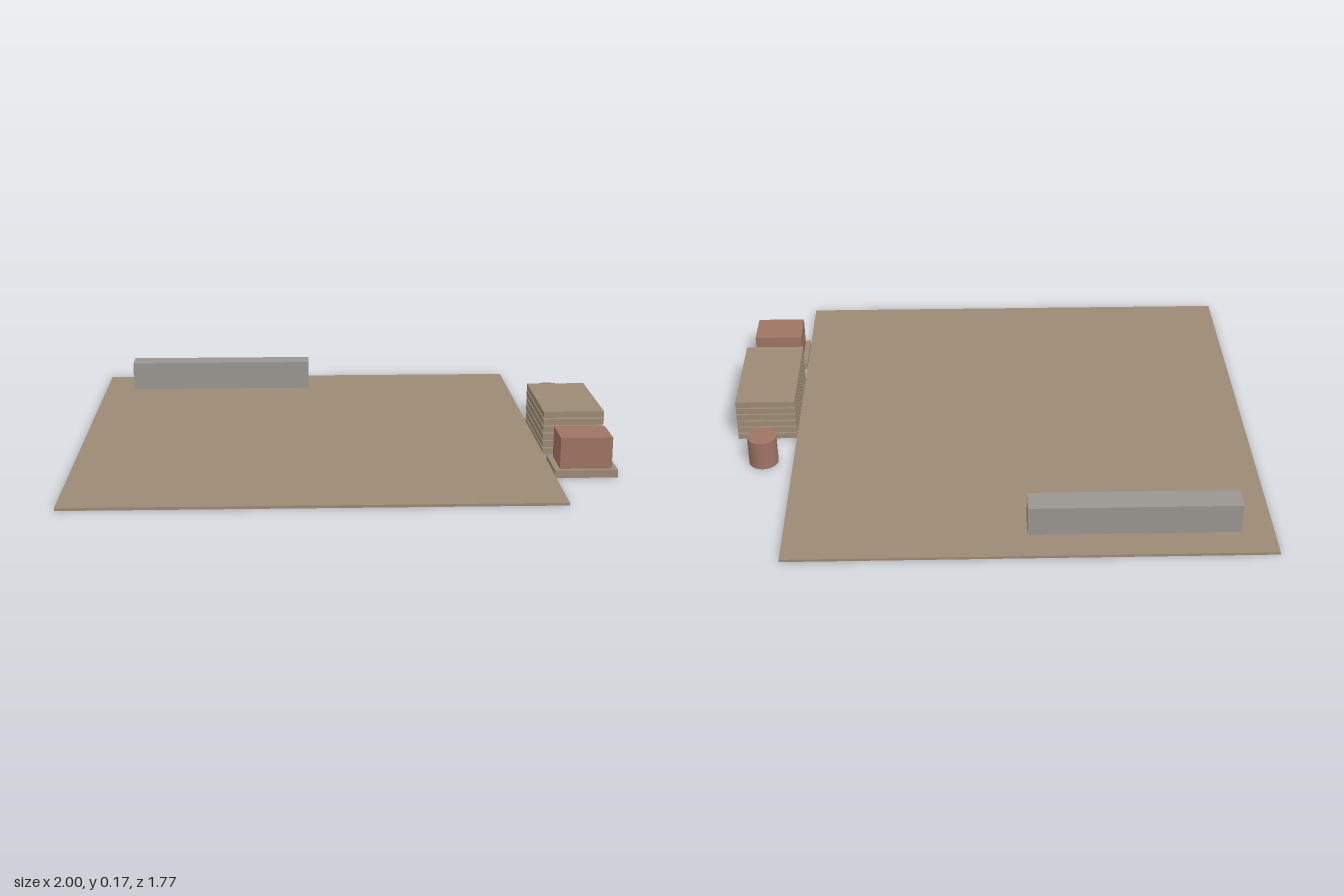
import * as THREE from 'three';

export function createModel() {
  const model = new THREE.Group();
  const tan = new THREE.MeshStandardMaterial({ color: 0x9c8b74 });
  tan.name = 'tan board';
  const grey = new THREE.MeshStandardMaterial({ color: 0x999691 });
  grey.name = 'grey concrete';
  const red = new THREE.MeshStandardMaterial({ color: 0x9e7463 });
  red.name = 'brick red';

  // Box given by its limits on each axis
  function box(name, material, [x0, x1], [y0, y1], [z0, z1], parent = model) {
    const mesh = new THREE.Mesh(new THREE.BoxGeometry(x1 - x0, y1 - y0, z1 - z0), material);
    mesh.position.set((x0 + x1) / 2, (y0 + y1) / 2, (z0 + z1) / 2);
    mesh.name = name;
    parent.add(mesh);
    return mesh;
  }

  // Ground slab and the long low wall standing in it
  box('groundSlab', tan, [-1, 0.77], [0, 0.01], [-0.885, 0.885]);
  box('lowWall', grey, [-0.88, -0.11], [0, 0.127], [-0.765, -0.67]);

  // Stack of boards with narrow gaps
  const stack = new THREE.Group();
  stack.name = 'boardStack';
  model.add(stack);
  const count = 6, thickness = 0.0235, pitch = (0.169 - thickness) / (count - 1);
  for (let i = 0; i < count; i++) {
    box('board', tan, [0.77, 1], [i * pitch, i * pitch + thickness], [-0.115, 0.303], stack);
  }

  // Crate on its pallet
  box('pallet', tan, [0.77, 1], [0, 0.029], [0.4, 0.588]);
  box('crate', red, [0.79, 0.98], [0.029, 0.146], [0.417, 0.569]);

  // Barrel
  const barrel = new THREE.Mesh(new THREE.CylinderGeometry(0.056, 0.056, 0.117, 24), red);
  barrel.position.set(0.885, 0.0585, -0.268);
  barrel.name = 'barrel';
  model.add(barrel);

  return model;
}
